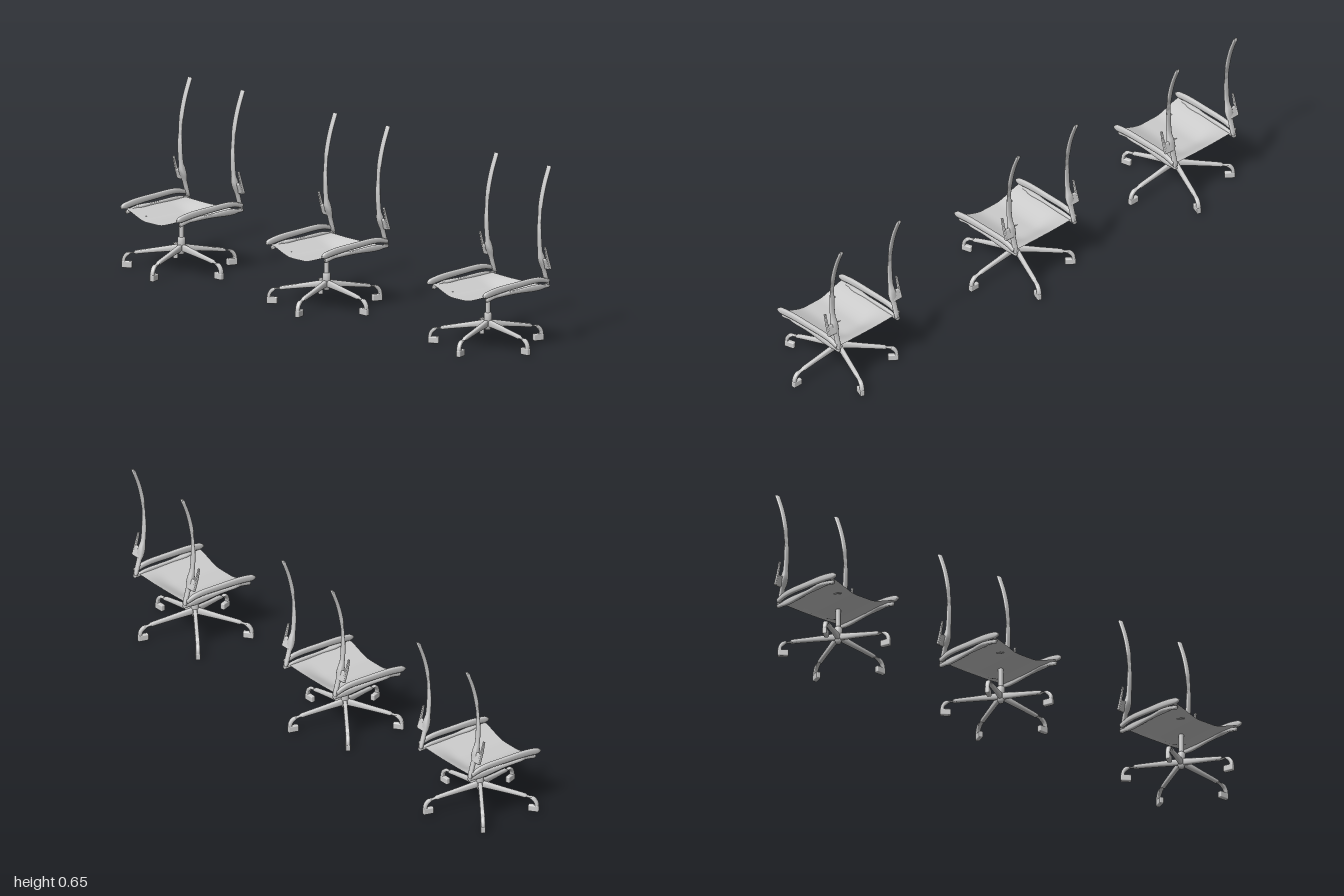
import * as THREE from 'three';
import { RoundedBoxGeometry } from 'three/addons/geometries/RoundedBoxGeometry.js';

const material = new THREE.MeshStandardMaterial({ color: 0xcccccc, side: THREE.DoubleSide });

function add(parent, name, geometry, x = 0, y = 0, z = 0) {
  const mesh = new THREE.Mesh(geometry, material);
  mesh.name = name;
  mesh.position.set(x, y, z);
  parent.add(mesh);
  return mesh;
}

// Rounded bar swept in the XY plane; each point is [x, y, half height, half width]
function sweep(points, steps = 24, sides = 12) {
  const path = new THREE.CatmullRomCurve3(points.map(p => new THREE.Vector3(p[0], p[1], 0)));
  const size = new THREE.CatmullRomCurve3(points.map(p => new THREE.Vector3(p[2], p[3], 0)));
  const pos = [], index = [];
  const round = v => Math.sign(v) * Math.pow(Math.abs(v), 0.6);
  for (let i = 0; i <= steps; i++) {
    const c = path.getPoint(i / steps), t = path.getTangent(i / steps), s = size.getPoint(i / steps);
    for (let k = 0; k < sides; k++) {
      const a = (k / sides) * Math.PI * 2;
      const h = round(Math.cos(a)) * s.x, w = round(Math.sin(a)) * s.y;
      pos.push(c.x - t.y * h, c.y + t.x * h, w);
      if (i < steps) {
        const p = i * sides + k, q = i * sides + (k + 1) % sides;
        index.push(p, q, p + sides, q, q + sides, p + sides);
      }
    }
  }
  // end caps
  for (let k = 1; k < sides - 1; k++) {
    const e = steps * sides;
    index.push(0, k + 1, k, e, e + k, e + k + 1);
  }
  const g = new THREE.BufferGeometry();
  g.setAttribute('position', new THREE.Float32BufferAttribute(pos, 3));
  g.setIndex(index);
  g.computeVertexNormals();
  return g;
}

// Profiles running forward (x becomes the front direction)
const forward = points => sweep(points).rotateY(-Math.PI / 2);

// Sling seat: low in the middle, rising to the side rails and to the back
function seatGeometry() {
  const g = new THREE.PlaneGeometry(0.284, 0.282, 24, 20).rotateX(-Math.PI / 2);
  const p = g.attributes.position;
  for (let i = 0; i < p.count; i++) {
    const x = p.getX(i), z = p.getZ(i) - 0.003;
    const side = THREE.MathUtils.smoothstep(Math.abs(x), 0.03, 0.155);
    const back = THREE.MathUtils.smoothstep(-z, 0.06, 0.16);
    const middle = 0.189 + 0.031 * back;
    p.setXYZ(i, x, THREE.MathUtils.lerp(middle, 0.221, side), z);
  }
  g.computeVertexNormals();
  return g;
}

function createBase() {
  const base = new THREE.Group();
  base.name = 'starBase';
  const leg = sweep([[0.005, 0.083, 0.013, 0.008], [0.09, 0.07, 0.009, 0.008], [0.165, 0.058, 0.007, 0.008],
    [0.195, 0.05, 0.007, 0.008], [0.207, 0.034, 0.007, 0.008], [0.208, 0.012, 0.007, 0.008]], 30);
  const foot = new RoundedBoxGeometry(0.039, 0.025, 0.017, 2, 0.004);
  for (let i = 0; i < 5; i++) {
    const spoke = new THREE.Group();
    spoke.name = 'spoke';
    spoke.rotation.y = (i / 5) * Math.PI * 2;
    add(spoke, 'leg', leg);
    add(spoke, 'foot', foot, 0.1965, 0.0125, 0);
    base.add(spoke);
  }
  const hub = [[0, 0.058], [0.009, 0.058], [0.013, 0.07], [0.0145, 0.1], [0.0145, 0.116], [0.011, 0.121], [0, 0.121]];
  add(base, 'hub', new THREE.LatheGeometry(hub.map(p => new THREE.Vector2(...p)), 20));
  add(base, 'column', new THREE.CylinderGeometry(0.009, 0.009, 0.075, 20), 0, 0.1545, 0);
  return base;
}

function createChair() {
  const chair = new THREE.Group();
  chair.name = 'chair';
  chair.add(createBase());
  add(chair, 'seat', seatGeometry());

  const post = forward([[-0.159, 0.222, 0.006, 0.009], [-0.142, 0.28, 0.006, 0.01], [-0.125, 0.345, 0.006, 0.01],
    [-0.12, 0.43, 0.0045, 0.01], [-0.127, 0.515, 0.0045, 0.01], [-0.144, 0.585, 0.0045, 0.01],
    [-0.169, 0.651, 0.0045, 0.01]]);
  const frame = forward([[-0.164, 0.217, 0.006, 0.007], [-0.14, 0.217, 0.007, 0.007], [0, 0.218, 0.007, 0.007],
    [0.09, 0.217, 0.007, 0.007], [0.136, 0.207, 0.007, 0.006]]);
  const rail = forward([[-0.157, 0.235, 0.008, 0.007], [-0.11, 0.246, 0.01, 0.008], [0, 0.243, 0.011, 0.008],
    [0.09, 0.237, 0.012, 0.008], [0.14, 0.229, 0.011, 0.008], [0.155, 0.226, 0.005, 0.005]]);
  const hook = forward([[-0.143, 0.285, 0.006, 0.005], [-0.13, 0.325, 0.006, 0.004], [-0.119, 0.367, 0.004, 0.004]]);
  const bracket = new RoundedBoxGeometry(0.034, 0.04, 0.012, 2, 0.004).rotateX(0.3);

  for (const s of [-1, 1]) {
    add(chair, 'backPost', post, s * 0.138, 0, 0);
    add(chair, 'seatFrame', frame, s * 0.14, 0, 0);
    add(chair, 'sideRail', rail, s * 0.146, 0, 0);
    add(chair, 'hook', hook, s * 0.17, 0, 0);
    add(chair, 'hookBracket', bracket, s * 0.153, 0.302, -0.137);
  }
  // small adjusting lever under the seat
  const lever = add(chair, 'lever', new THREE.CylinderGeometry(0.003, 0.003, 0.035, 8), -0.09, 0.191, 0.1);
  lever.rotation.z = -1.2;
  return chair;
}

export function createModel() {
  const model = new THREE.Group();
  model.name = 'chairRow';
  for (const x of [-0.823, -0.063, 0.781]) {
    const chair = createChair();
    chair.position.x = x;
    model.add(chair);
  }
  return model;
}
